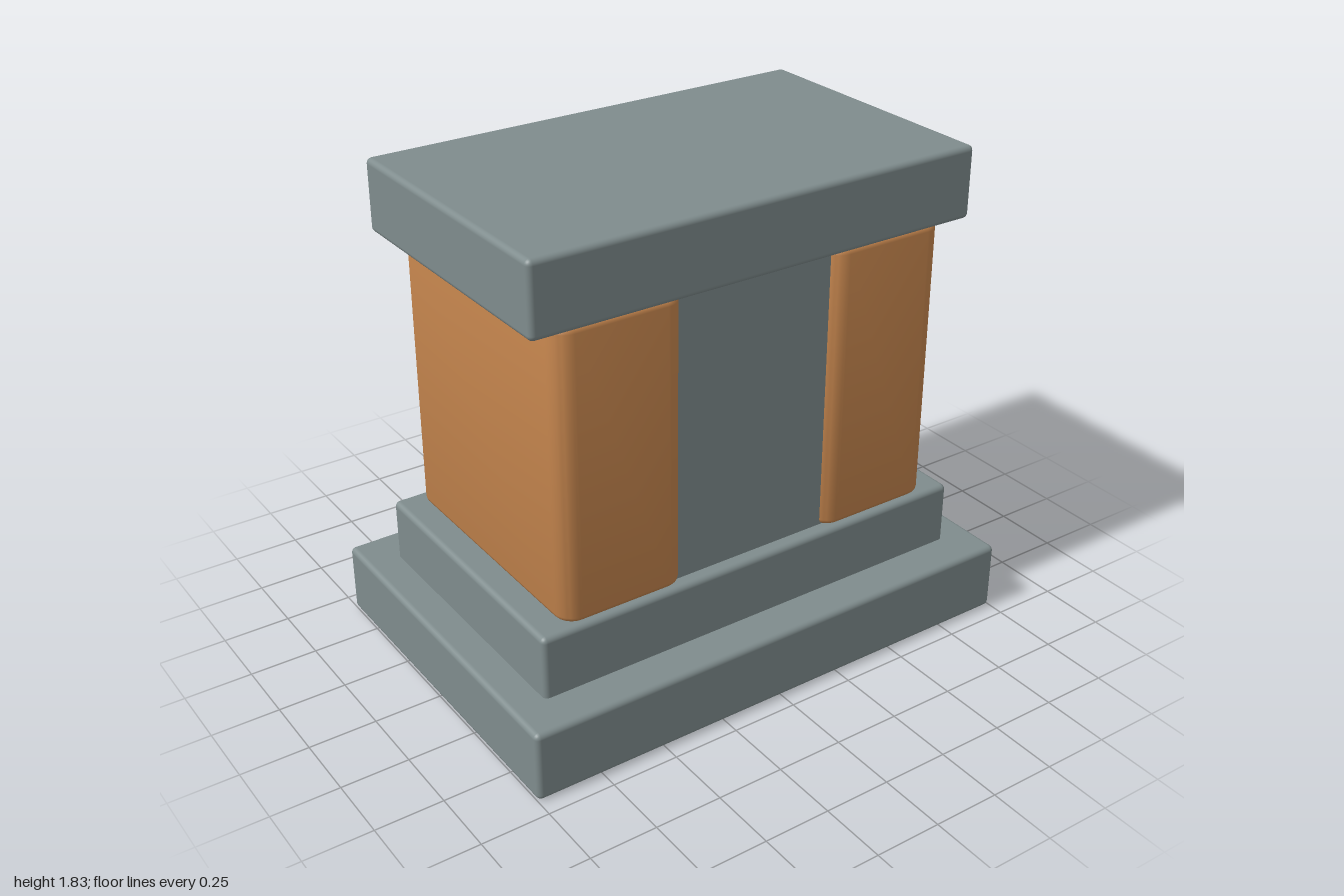
import * as THREE from 'three';
import { RoundedBoxGeometry } from 'three/addons/geometries/RoundedBoxGeometry.js';
import { toCreasedNormals } from 'three/addons/utils/BufferGeometryUtils.js';

const stone = new THREE.MeshStandardMaterial({ color: 0x7f8c8d });
stone.name = 'grey stone';
const copper = new THREE.MeshStandardMaterial({ color: 0xc2834c });
copper.name = 'copper';

// Slab with softly rounded edges, resting at height y
function slab(name, width, height, depth, y) {
  const mesh = new THREE.Mesh(new RoundedBoxGeometry(width, height, depth, 3, 0.02), stone);
  mesh.name = name;
  mesh.position.y = y + height / 2;
  return mesh;
}

// Upright block: rounded plan, small bevel at top and bottom
function blockGeometry(width, height, depth, radius, bevel) {
  const x = width / 2 - bevel, z = depth / 2 - bevel, r = radius - bevel;
  const plan = new THREE.Shape();
  plan.absarc(x - r, z - r, r, 0, Math.PI / 2);
  plan.absarc(-x + r, z - r, r, Math.PI / 2, Math.PI);
  plan.absarc(-x + r, -z + r, r, Math.PI, Math.PI * 1.5);
  plan.absarc(x - r, -z + r, r, Math.PI * 1.5, Math.PI * 2);
  plan.closePath();
  const geometry = new THREE.ExtrudeGeometry(plan, {
    depth: height - 2 * bevel, bevelEnabled: true, bevelSize: bevel,
    bevelThickness: bevel, bevelSegments: 3, curveSegments: 5,
  });
  geometry.rotateX(-Math.PI / 2);
  geometry.translate(0, bevel, 0);
  return toCreasedNormals(geometry, 0.6);
}

export function createModel() {
  const model = new THREE.Group();
  model.name = 'pedestal';

  // Stepped base and cap
  model.add(slab('baseSlab', 2, 0.265, 1.37, 0));
  model.add(slab('upperStep', 1.75, 0.265, 1.065, 0.235));
  model.add(slab('capSlab', 1.75, 0.265, 1.065, 1.565));

  // Core wall between the side blocks
  const core = new THREE.Mesh(new THREE.BoxGeometry(0.8, 1.11, 0.96), stone);
  core.name = 'coreWall';
  core.position.y = 1.0325;
  model.add(core);

  // Copper blocks on both sides
  const geometry = blockGeometry(0.48, 1.067, 1.025, 0.07, 0.02);
  for (const side of [-1, 1]) {
    const block = new THREE.Mesh(geometry, copper);
    block.name = side > 0 ? 'leftBlock' : 'rightBlock';
    block.position.set(side * 0.537, 0.499, 0);
    model.add(block);
  }
  return model;
}
